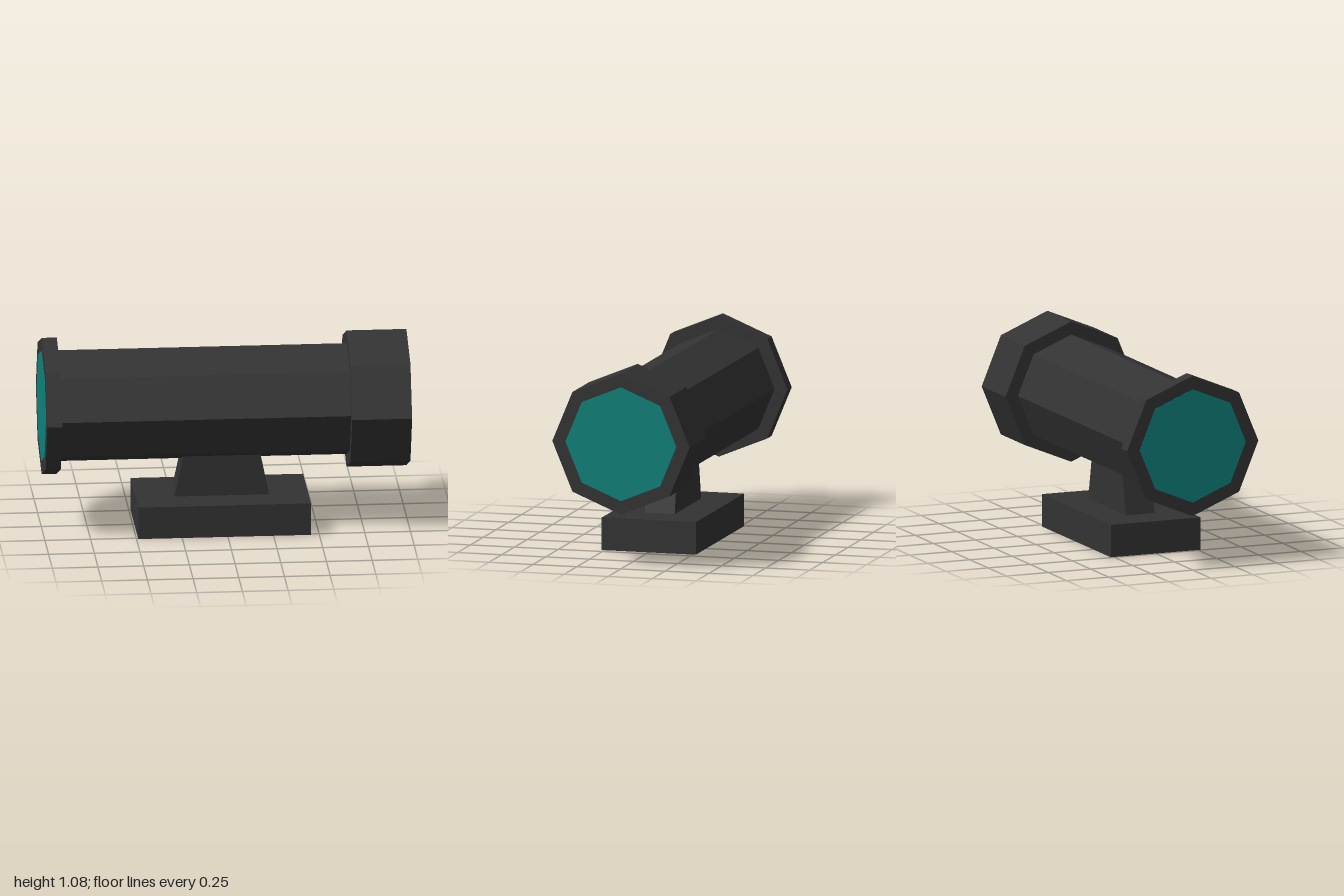
import * as THREE from 'three';

const AXIS_Y = 0.69;

export function createModel() {
  const model = new THREE.Group();
  model.name = 'scope';

  const casing = new THREE.MeshStandardMaterial({ color: 0x333333, flatShading: true });
  casing.name = 'dark casing';
  const glass = new THREE.MeshStandardMaterial({ color: 0x0e827c, flatShading: true });
  glass.name = 'teal glass';

  const add = (name, geometry, material, x, y, z = 0) => {
    const mesh = new THREE.Mesh(geometry, material);
    mesh.name = name;
    mesh.position.set(x, y, z);
    model.add(mesh);
    return mesh;
  };

  // Octagonal section lying along x, with a corner at the top
  const octagon = (name, radius, x0, x1, material) => {
    const geometry = new THREE.CylinderGeometry(radius, radius, x1 - x0, 8);
    geometry.rotateZ(-Math.PI / 2);
    return add(name, geometry, material, (x0 + x1) / 2, AXIS_Y);
  };

  // Barrel with its two end collars
  octagon('barrel', 0.317, -0.95, 0.72, casing);
  octagon('rearCollar', 0.39, -0.998, -0.915, casing);
  octagon('frontCollar', 0.39, 0.67, 0.998, casing);

  // Thin glass plates on both ends
  octagon('rearLens', 0.315, -1, -0.995, glass);
  octagon('frontLens', 0.315, 0.995, 1, glass);

  // Tapered mounting post, running up into the barrel
  const post = new THREE.Shape([
    new THREE.Vector2(-0.28, 0.17),
    new THREE.Vector2(0.242, 0.17),
    new THREE.Vector2(0.187, 0.44),
    new THREE.Vector2(-0.223, 0.44),
  ]);
  const postGeometry = new THREE.ExtrudeGeometry(post, { depth: 0.17, bevelEnabled: false });
  add('mountPost', postGeometry, casing, 0, 0, -0.085);

  // Base block
  add('base', new THREE.BoxGeometry(0.945, 0.18, 0.534), casing, -0.018, 0.09);

  return model;
}
